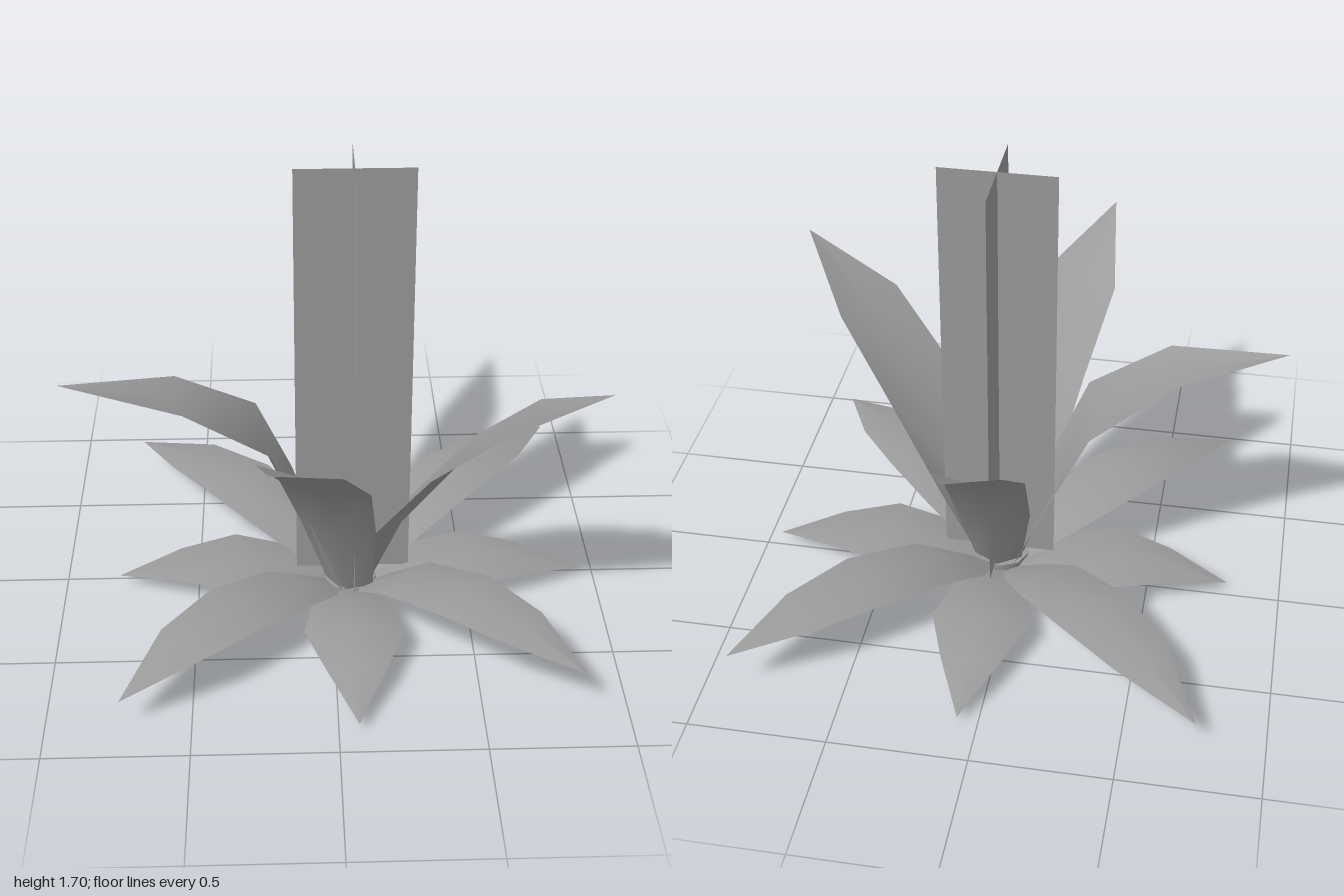
import * as THREE from 'three';

const material = new THREE.MeshStandardMaterial({ color: 0x9b9b9b, side: THREE.DoubleSide });
const CX = 0.07, CZ = 0.04;

// Leaf blade from sections [x, y, z, halfWidth, fold]; the edges move along the
// upper normal by fold (positive cups the blade, negative makes a raised midrib).
function makeLeaf(name, sections) {
  const mids = sections.map(s => new THREE.Vector3(s[0], s[1], s[2]));
  const last = mids.length - 1;
  const positions = [], index = [];
  const heading = mids[last].clone().sub(mids[0]).setY(0).normalize();
  const side = new THREE.Vector3(heading.z, 0, -heading.x);
  sections.forEach(([, , , width, fold], i) => {
    const tangent = mids[Math.min(i + 1, last)].clone().sub(mids[Math.max(i - 1, 0)]).normalize();
    const up = tangent.clone().cross(side).normalize();
    for (const k of [-1, 0, 1]) {
      const p = mids[i].clone().addScaledVector(side, k * width).addScaledVector(up, Math.abs(k) * fold);
      positions.push(p.x, p.y, p.z);
    }
    if (i === last) return;
    for (let k = 0; k < 2; k++) {
      const a = i * 3 + k, b = a + 3;
      index.push(a, a + 1, b + 1);
      if (i < last - 1) index.push(a, b + 1, b);
    }
  });
  const geometry = new THREE.BufferGeometry();
  geometry.setAttribute('position', new THREE.Float32BufferAttribute(positions, 3));
  geometry.setIndex(index);
  geometry.computeVertexNormals();
  const mesh = new THREE.Mesh(geometry, material);
  mesh.name = name;
  return mesh;
}

// Low arching leaf: rows of [fraction of length, y, halfWidth, fold]
function makeLowLeaf(name, tipX, tipZ, rows) {
  const length = Math.hypot(tipX - CX, tipZ - CZ);
  return makeLeaf(name, rows.map(([s, y, w, f]) => {
    const t = Math.max(s, 0.07 / length);
    return [CX + (tipX - CX) * t, y, CZ + (tipZ - CZ) * t, w, f];
  }));
}

export function createModel() {
  const model = new THREE.Group();
  model.name = 'plant';

  // Stalk: two crossed upright planes
  const stalk = new THREE.Group();
  stalk.name = 'stalk';
  for (const angle of [0, Math.PI / 2]) {
    const plane = new THREE.Mesh(new THREE.PlaneGeometry(0.42, 1.62), material);
    plane.name = 'stalkPlane';
    plane.rotation.y = angle;
    stalk.add(plane);
  }
  stalk.position.set(0.08, 0.89, 0.05);
  model.add(stalk);

  // Short root collar under the leaves
  const collar = new THREE.Mesh(new THREE.CylinderGeometry(0.1, 0.095, 0.045, 8, 1, true), material);
  collar.name = 'rootCollar';
  collar.position.set(0.07, 0.0225, 0.065);
  model.add(collar);
  const crown = new THREE.Mesh(new THREE.CircleGeometry(0.1, 8), material);
  crown.name = 'crown';
  crown.rotation.x = -Math.PI / 2;
  crown.position.set(0.07, 0.04, 0.065);
  model.add(crown);

  // Tall rising leaves
  const tall = new THREE.Group();
  tall.name = 'tallLeaves';
  tall.add(
    makeLeaf('tallBackLeaf', [
      [0.08, 0.04, -0.02, 0.09, 0.04], [0.07, 0.38, -0.18, 0.14, 0.04],
      [0.06, 0.71, -0.40, 0.15, 0.03], [0.06, 0.95, -0.68, 0.12, 0.02], [0.07, 1.185, -1.0, 0, 0]]),
    makeLeaf('tallRightLeaf', [
      [-0.01, 0.04, 0.08, 0.1, 0.04], [-0.16, 0.43, 0.08, 0.16, 0.04],
      [-0.27, 0.7, 0.105, 0.185, 0.03], [-0.545, 0.885, 0.17, 0.14, 0.02], [-0.95, 0.975, 0.21, 0, 0]]),
    makeLeaf('tallFrontLeaf', [
      [0.055, 0.04, 0.15, 0.09, 0.04], [0.01, 0.36, 0.27, 0.14, 0.04],
      [-0.04, 0.66, 0.45, 0.165, 0.03], [-0.125, 0.905, 0.70, 0.15, 0.015], [-0.22, 1.1, 0.995, 0, 0]]),
    makeLeaf('tallLeftLeaf', [
      [0.14, 0.04, 0.1, 0.09, 0.04], [0.255, 0.34, 0.145, 0.15, 0.04],
      [0.44, 0.655, 0.26, 0.17, 0.03], [0.65, 0.91, 0.395, 0.15, 0.015], [0.91, 1.11, 0.56, 0, 0]]));
  model.add(tall);

  // Low diagonal leaves
  const low = new THREE.Group();
  low.name = 'lowLeaves';
  for (const [x, z, tipY] of [[-0.755, -0.805, 0.11], [0.905, -0.805, 0.155], [-0.745, 0.845, 0.105], [0.855, 0.805, 0.15]]) {
    const lift = tipY > 0.13 ? 0.02 : 0;
    low.add(makeLowLeaf('diagonalLeaf', x, z, [
      [0, 0.02, 0.06, 0], [0.25, 0.155 + lift, 0.135, -0.025], [0.5, 0.217 + lift, 0.15, -0.028],
      [0.74, 0.198 + lift, 0.115, -0.018], [1, tipY, 0, 0]]));
  }

  // Lowest leaves along the axes
  for (const [x, z] of [[0.95, 0.03], [-0.8, 0.03], [0.07, 0.9], [0.07, -0.84]]) {
    low.add(makeLowLeaf('groundLeaf', x, z, [
      [0, 0.02, 0.06, 0], [0.25, 0.09, 0.145, -0.025], [0.5, 0.13, 0.18, -0.036],
      [0.74, 0.095, 0.105, -0.012], [1, 0.035, 0, 0]]));
  }
  model.add(low);
  return model;
}
